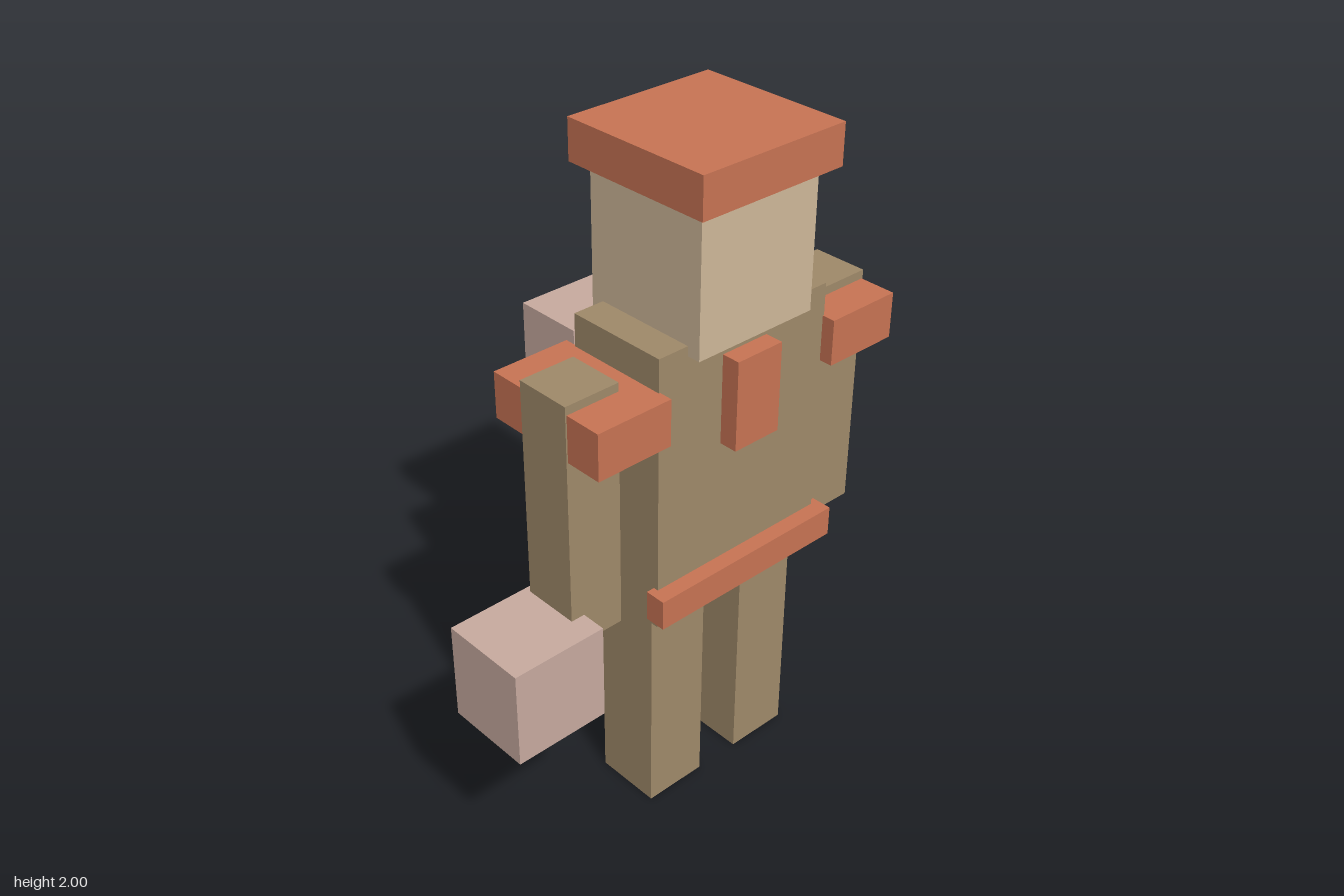
import * as THREE from 'three';

const paint = (color) => new THREE.MeshStandardMaterial({ color, flatShading: true });

export function createModel() {
  const model = new THREE.Group();
  const cloth = paint(0xa08a6a), skin = paint(0xd0b99a), trim = paint(0xc87454), gear = paint(0xc8aba0);
  const midX = 0.12; // the body's own centre line

  // Box given by its centre x, width, and y and z ranges
  function block(name, material, x, width, [y0, y1], [z0, z1]) {
    const mesh = new THREE.Mesh(new THREE.BoxGeometry(width, y1 - y0, z1 - z0), material);
    mesh.position.set(x, (y0 + y1) / 2, (z0 + z1) / 2);
    mesh.name = name;
    model.add(mesh);
  }

  // Head and cap
  block('head', skin, midX - 0.003, 0.393, [1.492, 1.885], [-0.118, 0.275]);
  block('cap', trim, midX, 0.47, [1.885, 2], [-0.157, 0.313]);

  // Torso with chest badge and belt
  block('torso', cloth, midX, 0.59, [0.695, 1.52], [-0.078, 0.235]);
  block('chestBadge', trim, midX, 0.155, [1.187, 1.45], [0.225, 0.29]);
  block('belt', trim, midX, 0.64, [0.73, 0.82], [0.22, 0.283]);

  // Paired limbs and shoulder pads
  for (const [side, s] of [['left', 1], ['right', -1]]) {
    block(side + 'Leg', cloth, midX + s * 0.17, 0.197, [0, 0.695], [-0.022, 0.182]);
    block(side + 'Arm', cloth, midX + s * 0.445, 0.17, [0.71, 1.45], [-0.008, 0.162]);
    block(side + 'ShoulderPad', trim, midX + s * 0.408, 0.235, [1.29, 1.425], [-0.118, 0.275]);
  }

  // Backpack and the case beside the right hand
  block('backpack', gear, midX, 0.55, [0.763, 1.45], [-0.313, -0.107]);
  block('handCase', gear, -0.512, 0.288, [0.508, 0.8], [-0.028, 0.237]);

  return model;
}
